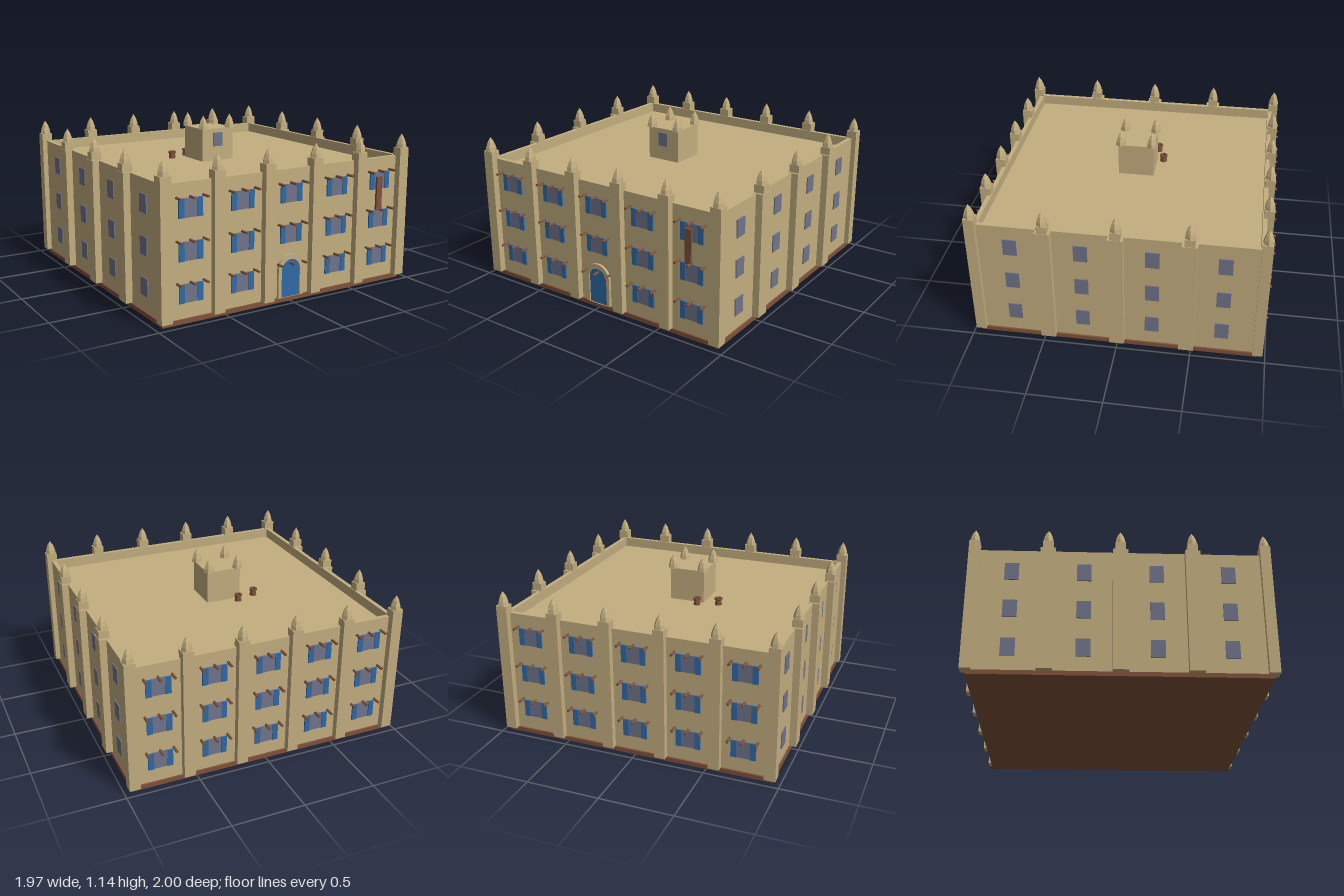
import * as THREE from 'three';

const mat = (name, color) => {
  const m = new THREE.MeshStandardMaterial({ color });
  m.name = name;
  return m;
};

export function createModel() {
  const model = new THREE.Group();
  model.name = 'building';
  const stone = mat('sandstone', 0xc3ae7f);
  const blue = mat('bluePaint', 0x2f6aa8);
  const glass = mat('greyGlass', 0x70748a);
  const wood = mat('brownWood', 0x80523a);
  stone.flatShading = wood.flatShading = true;

  const add = (name, geo, material, x, y, z, parent = model) => {
    const m = new THREE.Mesh(geo, material);
    m.name = name;
    m.position.set(x, y, z);
    parent.add(m);
    return m;
  };
  // box spanning y0..y1
  const box = (name, w, y0, y1, d, material, x, z, parent) =>
    add(name, new THREE.BoxGeometry(w, y1 - y0, d), material, x, (y0 + y1) / 2, z, parent);

  const WALL = 0.938, ROOF = 0.815, TOP = 0.885;

  // plinth, main block and parapet
  box('plinth', 1.9, 0, 0.03, 1.9, wood, 0, 0);
  box('mainBlock', WALL * 2, 0.03, ROOF, WALL * 2, stone, 0, 0);
  for (const s of [-1, 1]) {
    box('parapetEnd', WALL * 2, ROOF, TOP, 0.03, stone, 0, s * (WALL - 0.015));
    box('parapetSide', 0.03, ROOF, TOP, WALL * 2 - 0.06, stone, s * (WALL - 0.015), 0);
  }

  // six-sided pointed pinnacle with a curved outline
  const profile = [[0, 0], [0.038, 0], [0.034, 0.027], [0.022, 0.062], [0, 0.097]]
    .map(([r, y]) => new THREE.Vector2(r, y));
  const pinnacleGeo = new THREE.LatheGeometry(profile, 6, Math.PI / 2);
  const pinnacle = (x, y, z) => add('pinnacle', pinnacleGeo, stone, x, y, z);

  // buttresses along front and back
  for (const s of [-1, 1]) {
    for (let i = 0; i < 6; i++) {
      const x = (i - 2.5) * 0.374, z = s * 0.948;
      box('buttress', 0.076, 0.03, 0.94, 0.07, stone, x, z);
      pinnacle(x, 0.94, z);
    }
    // wider buttresses along the sides
    for (const z of [-0.47, 0, 0.47]) {
      const x = s * 0.948;
      box('sideButtress', 0.076, 0.03, TOP + 0.002, 0.1, stone, x, z);
      box('buttressPost', 0.07, TOP, 0.94, 0.068, stone, x, z);
      pinnacle(x, 0.94, z);
    }
  }

  // side windows
  const rows = [0.192, 0.458, 0.727];
  for (const s of [-1, 1])
    for (const y of rows)
      for (const z of [-0.7, -0.234, 0.234, 0.7])
        add('sideWindow', new THREE.BoxGeometry(0.009, 0.12, 0.092), glass, s * (WALL + 0.003), y, z);

  // shuttered windows with projecting beams, on front and back
  const beamGeo = new THREE.CylinderGeometry(0.009, 0.009, 0.07, 6).rotateX(Math.PI / 2);
  const face = (isFront) => {
    const g = new THREE.Group();
    g.name = isFront ? 'frontFace' : 'backFace';
    rows.forEach((y, r) => {
      for (let c = -2; c <= 2; c++) {
        const x = c * 0.374;
        for (const k of [-1, 0, 1])
          add('beam', beamGeo, wood, x + k * 0.093, y + 0.067, 0.965, g);
        if (isFront && r === 0 && c === 0) continue;
        add('window', new THREE.BoxGeometry(0.092, 0.12, 0.009), glass, x, y, WALL + 0.004, g);
        for (const k of [-1, 1])
          add('shutter', new THREE.BoxGeometry(0.038, 0.12, 0.0095), blue, x + k * 0.065, y, WALL + 0.009, g);
      }
    });
    if (!isFront) g.rotation.y = Math.PI;
    model.add(g);
  };
  face(true);
  face(false);

  // arched door and surround
  const arch = (r, spring) => {
    const s = new THREE.Shape();
    s.moveTo(-r, 0.03);
    s.lineTo(r, 0.03);
    s.lineTo(r, spring);
    s.absarc(0, spring, r, 0, Math.PI, false);
    s.closePath();
    return s;
  };
  const plate = (shape, depth) =>
    new THREE.ExtrudeGeometry(shape, { depth, bevelEnabled: false, curveSegments: 12 });
  const surround = arch(0.098, 0.222);
  surround.holes.push(arch(0.073, 0.213));
  add('doorSurround', plate(surround, 0.02), stone, 0, 0, WALL - 0.002);
  add('door', plate(arch(0.074, 0.213), 0.009), blue, 0, 0, WALL);

  // hanging board on the front
  box('hangingBoard', 0.047, 0.525, 0.757, 0.015, wood, 0.732, 0.962);

  // rooftop turret
  box('turret', 0.25, ROOF, 1.045, 0.25, stone, -0.05, 0);
  add('turretWindow', new THREE.BoxGeometry(0.076, 0.097, 0.0095), glass, -0.052, 0.967, 0.129);
  for (const x of [-0.16, 0.058])
    for (const z of [-0.11, 0.11]) pinnacle(x, 1.045, z);

  // open chimney pots
  const pot = [[0.026, 0], [0.022, 0.035], [0.029, 0.038], [0.029, 0.05], [0.018, 0.05], [0.018, 0.01], [0, 0.01]]
    .map(([r, y]) => new THREE.Vector2(r, y));
  const potGeo = new THREE.LatheGeometry(pot, 8);
  add('chimneyPot', potGeo, wood, -0.285, ROOF, -0.122);
  add('chimneyPot', potGeo, wood, -0.143, ROOF, -0.172);

  return model;
}
